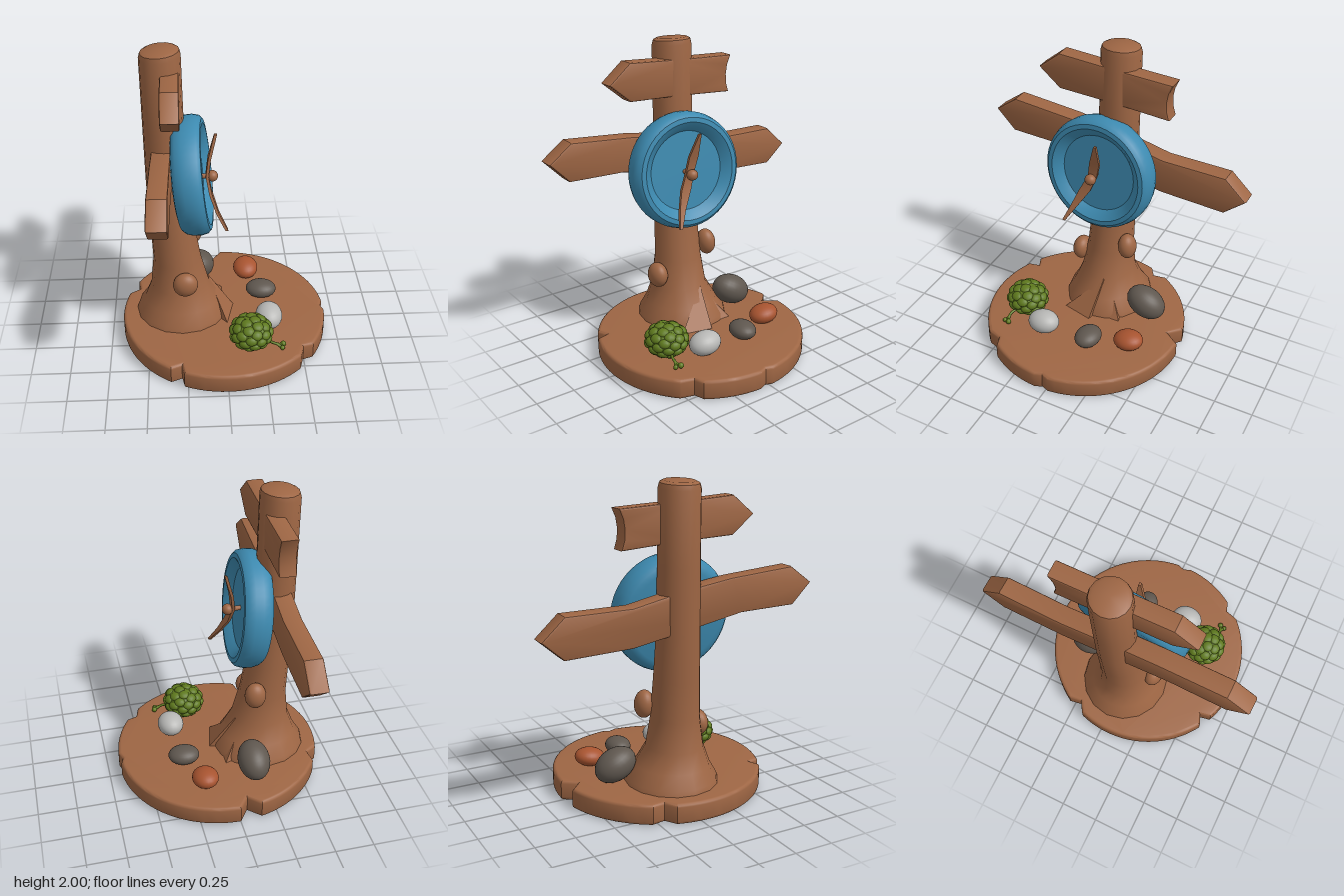
import * as THREE from 'three';
import { toCreasedNormals } from 'three/addons/utils/BufferGeometryUtils.js';

const material = (name, color) => {
  const m = new THREE.MeshStandardMaterial({ color });
  m.name = name;
  return m;
};

// Skin a stack of rings (bottom to top), each a list of Vector3, with closed ends.
function loft(rings, crease) {
  const n = rings[0].length, pos = [], index = [];
  const centre = (r) => r.reduce((s, p) => s.add(p), new THREE.Vector3()).divideScalar(n);
  rings.forEach((r) => r.forEach((p) => pos.push(p.x, p.y, p.z)));
  const last = (rings.length - 1) * n, low = rings.length * n;
  pos.push(...centre(rings[0]).toArray(), ...centre(rings[rings.length - 1]).toArray());
  for (let j = 0; j < n; j++) {
    const k = (j + 1) % n;
    for (let i = 0; i < last; i += n) {
      index.push(i + j, i + n + j, i + k, i + k, i + n + j, i + n + k);
    }
    index.push(low, j, k, low + 1, last + k, last + j);
  }
  const g = new THREE.BufferGeometry();
  g.setAttribute('position', new THREE.Float32BufferAttribute(pos, 3));
  g.setIndex(index);
  return toCreasedNormals(g, crease);
}

export function createModel() {
  const model = new THREE.Group();
  model.name = 'signpost';
  const wood = material('wood brown', 0x9e6644);
  const blue = material('dial blue', 0x3d8ab0);
  const green = material('leaf green', 0x5f7a1e);
  const grey = material('stone grey', 0x5f574f);
  const rust = material('stone rust', 0xa85430);
  const pale = material('stone pale', 0xb8b8b6);

  const add = (name, geometry, mat, parent = model) => {
    const mesh = new THREE.Mesh(geometry, mat);
    mesh.name = name;
    parent.add(mesh);
    return mesh;
  };
  const ball = (name, mat, [x, y, z], [rx, ry, rz], tilt = [0, 0, 0], parent = model) => {
    const mesh = add(name, new THREE.SphereGeometry(1, 24, 16), mat, parent);
    mesh.position.set(x, y, z);
    mesh.scale.set(rx, ry, rz);
    mesh.rotation.set(...tilt);
    return mesh;
  };

  // Round base with cracks cut into the rim: [degrees, depth, half width in degrees]
  const cracks = [[2, 0.02, 4], [96, 0.085, 4], [156, 0.05, 4], [242, 0.06, 4], [321, 0.04, 4]];
  const outline = [];
  for (let d = -2; d < 358; d += 4) {
    const crack = cracks.find((c) => d > c[0] - c[2] && d < c[0] + c[2]);
    const a = THREE.MathUtils.degToRad(crack ? crack[0] : d);
    const r = 0.675 - (crack ? crack[1] : 0);
    const p = new THREE.Vector2(r * Math.cos(a), r * Math.sin(a));
    if (!outline.length || p.distanceTo(outline[outline.length - 1]) > 0.001) outline.push(p);
  }
  const baseGeo = new THREE.ExtrudeGeometry(new THREE.Shape(outline), {
    depth: 0.09, bevelThickness: 0.02, bevelSize: 0.02, bevelOffset: -0.02, bevelSegments: 3,
  });
  const base = add('base', toCreasedNormals(baseGeo, 0.6), wood);
  base.rotation.x = -Math.PI / 2;
  base.position.set(0, 0.02, 0.05);

  // Trunk flaring at the foot: [y, x min, x max, z min, z max]
  const trunk = [
    [0.12, -0.585, 0.03, -0.29, 0.3], [0.16, -0.575, 0.02, -0.28, 0.29],
    [0.24, -0.525, -0.03, -0.22, 0.245], [0.36, -0.48, -0.1, -0.16, 0.2],
    [0.55, -0.46, -0.15, -0.14, 0.17], [0.8, -0.47, -0.19, -0.135, 0.155],
    [1.1, -0.485, -0.225, -0.13, 0.14], [1.5, -0.49, -0.24, -0.13, 0.13],
    [1.95, -0.495, -0.248, -0.13, 0.125], [1.98, -0.487, -0.255, -0.122, 0.117],
    [1.992, -0.465, -0.275, -0.1, 0.095],
  ].map(([y, x0, x1, z0, z1]) => Array.from({ length: 16 }, (_, i) => {
    const a = (i / 16) * Math.PI * 2;
    const x = (x0 + x1) / 2 + ((x1 - x0) / 2) * Math.cos(a);
    return new THREE.Vector3(x, y + (y > 1.9 ? (x + 0.37) * 0.08 : 0),
      (z0 + z1) / 2 + ((z1 - z0) / 2) * Math.sin(a));
  }));
  add('trunk', loft(trunk, 0.75), wood);

  // Roots: sharp ridges running down from the trunk
  const root = (toe, side, top, back) => {
    const foot = [toe, side, back].map(([x, z]) => new THREE.Vector3(x, 0.12, z));
    const tip = foot.map((p) => p.clone().lerp(new THREE.Vector3(...top), 0.97));
    add('root', loft([foot, tip], 0.2), wood);
  };
  root([0.07, 0], [0.02, 0.21], [-0.11, 0.37, -0.03], [-0.2, -0.06]);
  root([0, -0.2], [0, -0.13], [-0.14, 0.33, -0.06], [-0.2, -0.14]);

  // Knots on the trunk
  ball('knot', wood, [-0.255, 0.46, 0.21], [0.08, 0.083, 0.06], [0, 0, -0.3]);
  ball('knot', wood, [-0.21, 0.625, -0.15], [0.07, 0.088, 0.06], [0.1, 0, 0]);

  // Direction boards, outlined in (z, y) and extruded along x
  const board = (name, points, x, thick, yaw) => {
    const shape = new THREE.Shape(points.map(([z, y]) => new THREE.Vector2(-z, y)));
    const b = 0.012;
    const g = new THREE.ExtrudeGeometry(shape, {
      depth: thick - 2 * b, bevelThickness: b, bevelSize: b, bevelOffset: -b, bevelSegments: 2,
    });
    g.translate(0, 0, b - thick / 2);
    const mesh = add(name, toCreasedNormals(g, 0.5), wood);
    mesh.rotation.y = Math.PI / 2 + yaw;
    mesh.position.x = x;
  };
  board('upperBoard', [
    [0.515, 1.77], [0.37, 1.65], [0, 1.635], [-0.375, 1.61], [-0.358, 1.67], [-0.355, 1.73],
    [-0.365, 1.79], [-0.39, 1.85], [0, 1.868], [0.37, 1.89],
  ], -0.318, 0.11, 0);
  board('lowerBoard', [
    [0.9, 1.33], [0.77, 1.198], [0.4, 1.188], [0, 1.11], [-0.33, 1.052], [-0.755, 1.035],
    [-0.892, 1.155], [-0.75, 1.287], [-0.33, 1.29], [0, 1.36], [0.32, 1.408], [0.75, 1.442],
  ], -0.38, 0.12, -0.022);

  // Tilted dial with a rounded rim and a sunken face
  const dialProfile = [
    [0, -0.095], [0.3, -0.095], [0.34, -0.085], [0.362, -0.06], [0.374, -0.02], [0.376, 0.03],
    [0.366, 0.07], [0.345, 0.09], [0.315, 0.092], [0.285, 0.07], [0.26, 0.045], [0.255, 0.04], [0, 0.04],
  ].map(([r, y]) => new THREE.Vector2(r, y));
  const dial = add('dial', toCreasedNormals(new THREE.LatheGeometry(dialProfile, 48), 0.65), blue);
  dial.position.set(-0.195, 1.175, 0.04);
  dial.quaternion.setFromUnitVectors(
    new THREE.Vector3(0, 1, 0), new THREE.Vector3(1, 0.11, 0.07).normalize());

  // Bent pointer: [y, z, half width, x]
  const pointer = [
    [0.87, 0.203, 0.01, 0.01], [0.97, 0.153, 0.022, -0.045], [1.08, 0.098, 0.036, -0.085],
    [1.18, 0.055, 0.03, -0.105], [1.29, 0.034, 0.034, -0.09], [1.44, 0.012, 0.008, -0.05],
  ].map(([y, z, w, x]) => [[1, -1], [1, 1], [-1, 1], [-1, -1]].map(
    ([sx, sz]) => new THREE.Vector3(x + sx * 0.009, y, z + sz * w)));
  add('pointer', loft(pointer, 0.6), wood);
  ball('pointerHub', wood, [-0.072, 1.175, 0.055], [0.035, 0.035, 0.037]);
  const pin = add('pointerPin', new THREE.CylinderGeometry(0.015, 0.015, 0.09, 12), wood);
  pin.rotation.z = Math.PI / 2;
  pin.position.set(-0.12, 1.175, 0.055);

  // Stones
  ball('largeStone', grey, [-0.16, 0.24, -0.325], [0.105, 0.1, 0.14], [-0.45, 0, 0]);
  ball('smallStone', grey, [0.26, 0.18, -0.1], [0.103, 0.056, 0.083], [0, -0.1, 0]);
  ball('rustStone', rust, [0.17, 0.18, -0.35], [0.086, 0.06, 0.1], [0.12, 0, 0]);
  ball('paleStone', pale, [0.287, 0.2, 0.22], [0.088, 0.075, 0.107], [0.1, 0, 0]);

  // Leafy bush: overlapping flattened lumps around a core
  const bush = new THREE.Group();
  bush.name = 'bush';
  bush.position.set(0.155, 0.232, 0.42);
  bush.scale.set(1, 0.77, 1);
  model.add(bush);
  ball('bushCore', green, [0, 0, 0], [0.128, 0.128, 0.128], [0, 0, 0], bush);
  const count = 48;
  for (let i = 0; i < count; i++) {
    const y = 1 - (2 * (i + 0.5)) / count, r = Math.sqrt(1 - y * y), a = i * 2.39996;
    const dir = new THREE.Vector3(r * Math.cos(a), y, r * Math.sin(a));
    const leaf = add('leaf', new THREE.SphereGeometry(1, 12, 8), green, bush);
    leaf.position.copy(dir).multiplyScalar(0.122);
    leaf.scale.set(0.037, 0.037, 0.023);
    leaf.quaternion.setFromUnitVectors(new THREE.Vector3(0, 0, 1), dir);
  }

  // Twig with berries beside the bush
  const twig = (...pts) => add('twig', new THREE.TubeGeometry(
    new THREE.CatmullRomCurve3(pts.map((p) => new THREE.Vector3(...p))), 8, 0.009, 8), green);
  twig([0.25, 0.185, 0.45], [0.3, 0.175, 0.47], [0.335, 0.16, 0.467], [0.36, 0.155, 0.455]);
  twig([0.31, 0.172, 0.468], [0.33, 0.16, 0.475], [0.352, 0.15, 0.488]);
  ball('berry', green, [0.36, 0.155, 0.455], [0.018, 0.018, 0.018]);
  ball('berry', green, [0.352, 0.15, 0.488], [0.015, 0.015, 0.015]);

  return model;
}
